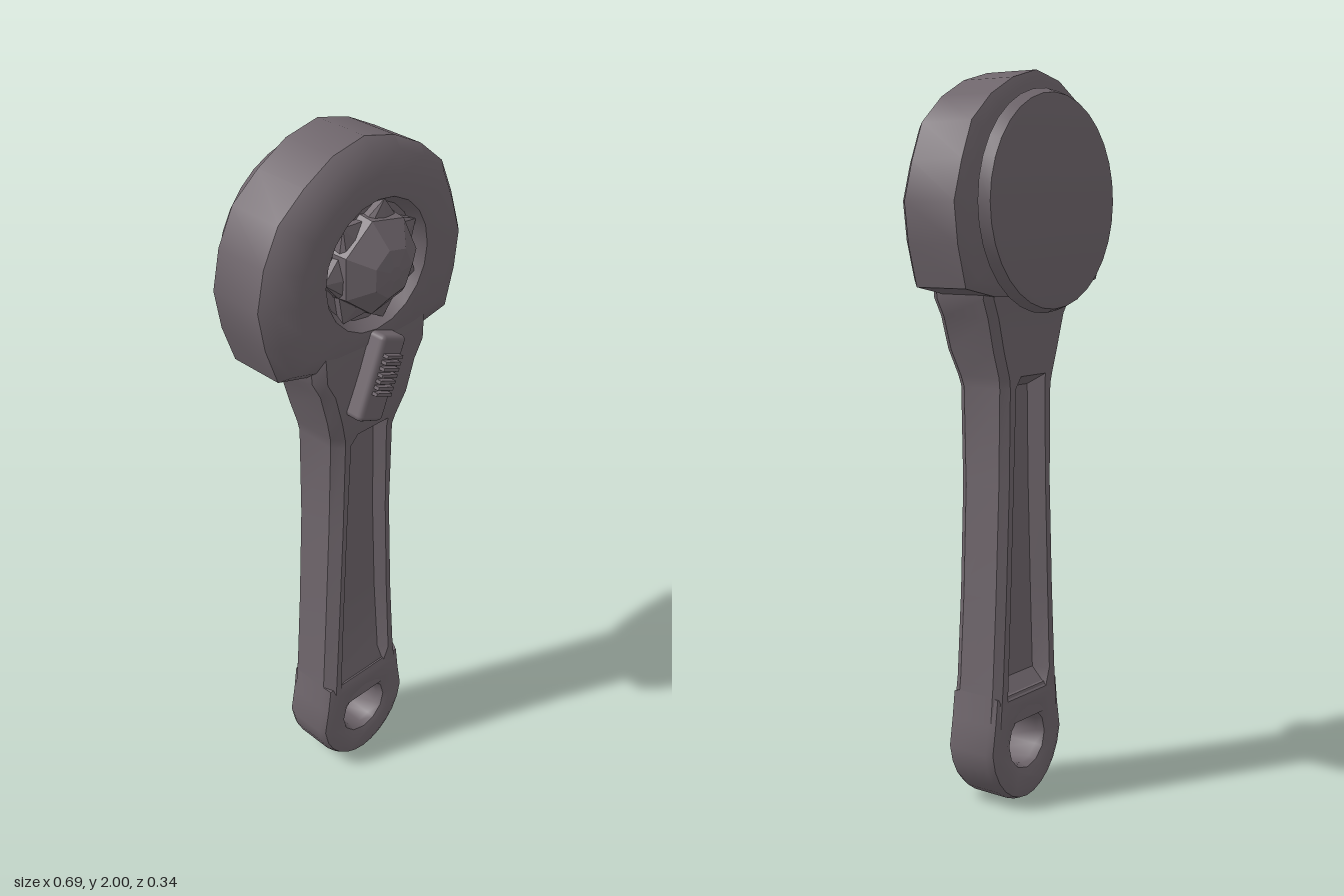
import * as THREE from 'three';
import { toCreasedNormals } from 'three/addons/utils/BufferGeometryUtils.js';
import { RoundedBoxGeometry } from 'three/addons/geometries/RoundedBoxGeometry.js';

const HEAD_Y = 1.66;
const steel = new THREE.MeshStandardMaterial({ color: 0x6e656b });
steel.name = 'dark steel';

// Skin closed rings of Vector3, counter-clockwise about the stacking axis, capped at both ends.
function loft(rings, crease) {
  const out = [];
  const n = rings[0].length;
  const tri = (...p) => p.forEach((v) => out.push(v.x, v.y, v.z));
  const centre = (ring) => ring.reduce((s, p) => s.add(p), new THREE.Vector3()).divideScalar(n);
  for (let i = 0; i < rings.length - 1; i++) {
    for (let k = 0; k < n; k++) {
      const m = (k + 1) % n;
      const a = rings[i][k], b = rings[i][m], c = rings[i + 1][m], d = rings[i + 1][k];
      tri(a, b, c);
      tri(a, c, d);
    }
  }
  const first = rings[0], last = rings[rings.length - 1];
  const c0 = centre(first), c1 = centre(last);
  for (let k = 0; k < n; k++) {
    const m = (k + 1) % n;
    tri(c0, first[m], first[k]);
    tri(c1, last[k], last[m]);
  }
  const g = new THREE.BufferGeometry();
  g.setAttribute('position', new THREE.Float32BufferAttribute(out, 3));
  return toCreasedNormals(g, crease);
}

// Ring facing +z; radius is a function of the point index.
function ringZ(n, radius, z, y = HEAD_Y, x = 0) {
  return Array.from({ length: n }, (_, k) => {
    const a = (k / n) * Math.PI * 2;
    const r = radius(k);
    return new THREE.Vector3(x + r * Math.cos(a), y + r * Math.sin(a), z);
  });
}

// Handle cross-section with a channel sunk in the front and the back.
function handleSection([y, w, front, back, c, frontDepth, backDepth]) {
  const half = [
    [c, front - frontDepth], [c + 0.02, front], [w - 0.025, front], [w, front - 0.03],
    [w, back + 0.02], [w - 0.02, back], [c + 0.02, back], [c, back + backDepth],
  ];
  const mirrored = half.map(([x, z]) => [-x, z]).reverse();
  return [...half, ...mirrored].map(([x, z]) => new THREE.Vector3(x, y, z));
}

export function createModel() {
  const model = new THREE.Group();
  const add = (name, geometry, parent = model) => {
    const mesh = new THREE.Mesh(geometry, steel);
    mesh.name = name;
    parent.add(mesh);
    return mesh;
  };

  // Head: uneven round body with shoulders, bevelled front and a round recess
  const radii = [0.345, 0.33, 0.338, 0.33, 0.33, 0.34, 0.335, 0.33, 0.342, 0.342,
    0.348, 0.346, 0.36, 0.3, 0.26, 0.25, 0.26, 0.3, 0.37, 0.348];
  const headRing = (s, z) => ringZ(20, (k) => radii[k] * s, z);
  add('head', loft([
    headRing(0.9, -0.12), headRing(1, -0.105), headRing(1, 0.055), headRing(0.92, 0.083), headRing(0.75, 0.105),
    ringZ(20, () => 0.175, 0.105, 1.68), ringZ(20, () => 0.155, 0.07, 1.68),
  ], 0.75));

  // Round cover on the back
  const disc = (r, z) => ringZ(32, () => r, z);
  add('backCover', loft([
    disc(0.265, -0.171), disc(0.28, -0.167), disc(0.292, -0.137), disc(0.27, -0.13), disc(0.22, -0.11),
  ], 0.6));

  // Faceted dial in the recess, on a toothed collar
  const collar = (k) => (k % 2 ? 0.165 : 0.128);
  add('dialCollar', loft([
    ringZ(14, collar, 0.06, 1.68), ringZ(14, collar, 0.088, 1.68), ringZ(14, () => 0.115, 0.104, 1.68),
  ], 0.05));
  add('dial', loft([
    ringZ(7, () => 0.135, 0.06, 1.685), ringZ(7, () => 0.128, 0.112, 1.685),
    ringZ(7, () => 0.066, 0.158, 1.68), ringZ(7, () => 0.02, 0.165, 1.68),
  ], 0.05));

  // Handle and neck: y, half width, front z, back z, channel half width, channel depths
  add('handle', loft([
    [0.24, 0.152, 0.076, -0.088, 0.08, 0, 0],
    [0.31, 0.146, 0.076, -0.088, 0.08, 0.005, 0],
    [0.36, 0.141, 0.074, -0.088, 0.077, 0.026, 0.045],
    [0.6, 0.127, 0.072, -0.088, 0.066, 0.03, 0.045],
    [0.9, 0.114, 0.073, -0.088, 0.054, 0.03, 0.045],
    [1.17, 0.112, 0.08, -0.09, 0.046, 0.03, 0.045],
    [1.2, 0.118, 0.086, -0.092, 0.046, 0, 0],
    [1.27, 0.142, 0.1, -0.092, 0.06, 0, 0],
    [1.36, 0.168, 0.103, -0.094, 0.08, 0, 0],
    [1.41, 0.196, 0.104, -0.1, 0.09, 0, 0],
    [1.49, 0.2, 0.102, -0.11, 0.09, 0, 0],
  ].map(handleSection), 0.6));

  // Hanging eye at the foot of the handle
  const eye = new THREE.Shape();
  eye.moveTo(0.144, 0.33);
  eye.lineTo(-0.144, 0.33);
  eye.lineTo(-0.154, 0.25);
  eye.lineTo(-0.168, 0.17);
  eye.bezierCurveTo(-0.155, 0.06, -0.07, 0, 0, 0);
  eye.bezierCurveTo(0.07, 0, 0.155, 0.06, 0.167, 0.17);
  eye.lineTo(0.154, 0.25);
  eye.closePath();
  const hole = new THREE.Path();
  hole.absarc(0, 0.175, 0.075, 0, Math.PI * 2, true);
  eye.holes.push(hole);
  const bevel = 0.028;
  const eyeGeometry = new THREE.ExtrudeGeometry(eye, {
    depth: 0.166 - 2 * bevel, bevelEnabled: true, bevelThickness: bevel, bevelSize: bevel,
    bevelOffset: -bevel, bevelSegments: 2, curveSegments: 6,
  });
  eyeGeometry.translate(0, 0, -0.089 + bevel);
  add('hangingEye', toCreasedNormals(eyeGeometry, 0.7));

  // Tilted direction lever with a ribbed thumb pad
  const lever = new THREE.Group();
  lever.name = 'directionLever';
  lever.position.set(-0.02, 1.383, 0.1);
  lever.rotation.z = -0.38;
  model.add(lever);
  add('leverBody', new RoundedBoxGeometry(0.092, 0.235, 0.1, 2, 0.014), lever);
  for (let i = 0; i < 7; i++) {
    const rib = add('leverRib', new THREE.BoxGeometry(0.058, 0.009, 0.03), lever);
    rib.position.set(0, -0.035 + i * 0.017, 0.051);
  }

  return model;
}
